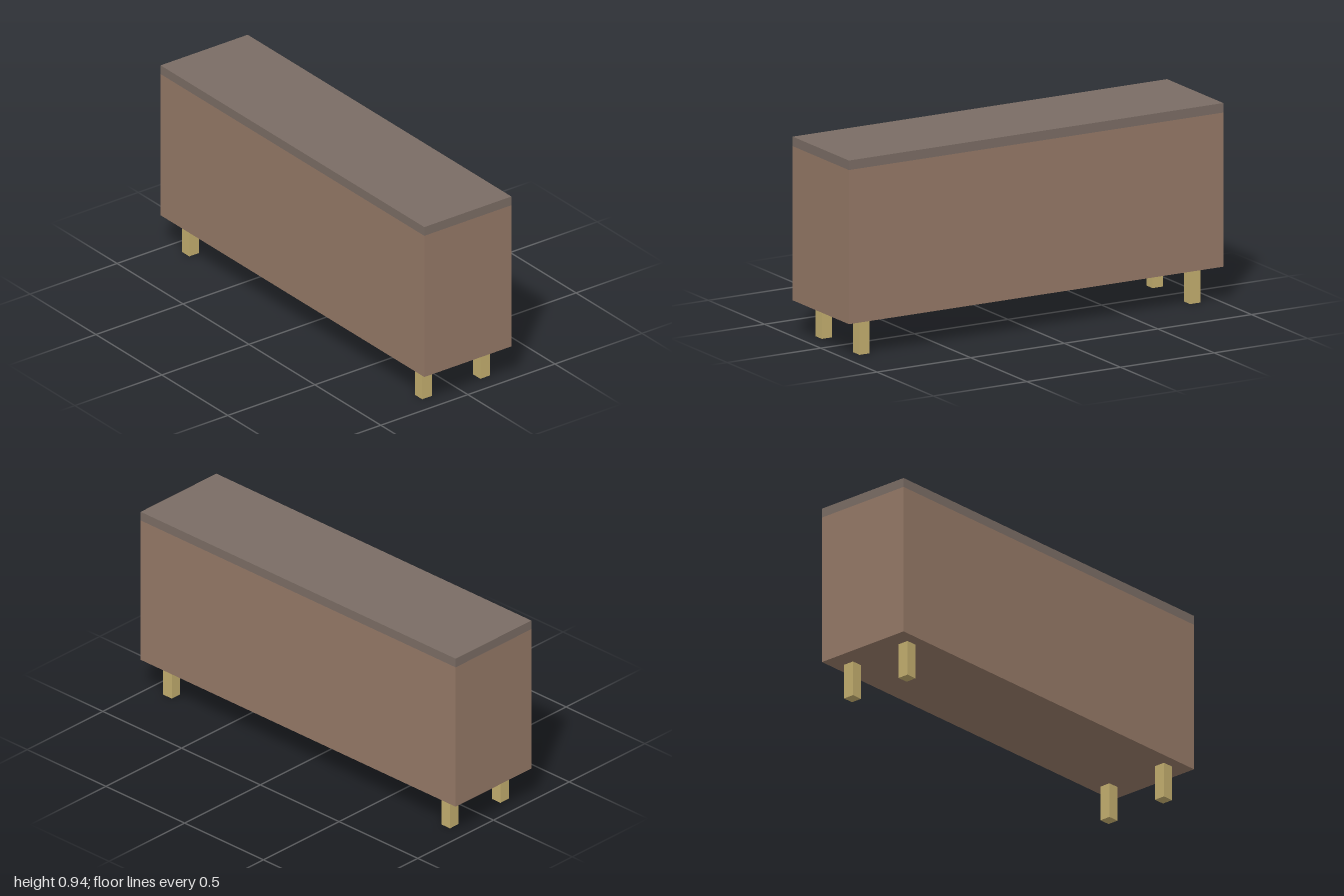
import * as THREE from 'three';

const bodyMaterial = new THREE.MeshStandardMaterial({ color: 0x947866 });
const topMaterial = new THREE.MeshStandardMaterial({ color: 0x7a6c64 });
const legMaterial = new THREE.MeshStandardMaterial({ color: 0xc2ad6e });

// Box standing on height y
function addBox(group, name, [w, h, d], [x, y, z], material) {
  const mesh = new THREE.Mesh(new THREE.BoxGeometry(w, h, d), material);
  mesh.name = name;
  mesh.position.set(x, y + h / 2, z);
  group.add(mesh);
}

export function createModel() {
  const model = new THREE.Group();
  model.name = 'sideboard';

  const legHeight = 0.17, bodyHeight = 0.73, topHeight = 0.045;

  // Cabinet body and the flush top board
  addBox(model, 'body', [2, bodyHeight, 0.5], [0, legHeight, 0], bodyMaterial);
  addBox(model, 'topBoard', [2, topHeight, 0.5], [0, legHeight + bodyHeight, 0], topMaterial);

  // Four square legs, inset from the corners
  for (const [side, sx] of [['Left', 1], ['Right', -1]]) {
    for (const [end, sz] of [['front', 1], ['back', -1]]) {
      addBox(model, `${end}${side}Leg`, [0.055, legHeight, 0.055], [sx * 0.883, 0, sz * 0.167], legMaterial);
    }
  }

  return model;
}
